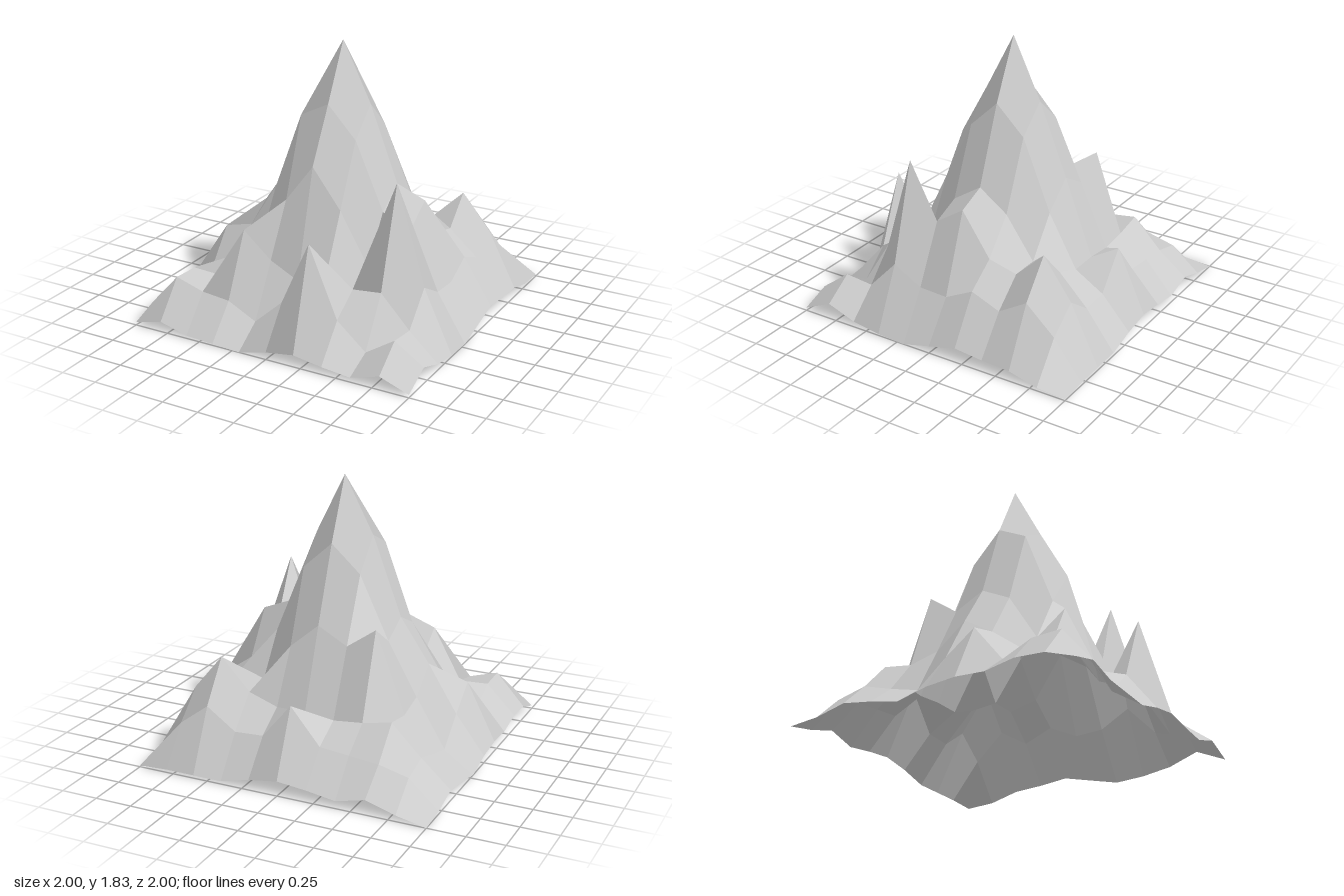
import * as THREE from 'three';

// Ridge profiles from back (z = -1) to front (z = 1); each runs from x = -1 to x = 1
const PROFILES = [
  [0.00, 0.04, 0.10, 0.05, 0.08, 0.10, 0.07, 0.02, 0.02, 0.02, 0.01],
  [0.02, 0.20, 0.25, 0.27, 0.29, 0.53, 0.29, 0.28, 0.42, 0.27, 0.02],
  [0.07, 0.25, 0.45, 0.41, 0.39, 0.41, 0.41, 0.48, 0.69, 0.45, 0.07],
  [0.04, 0.19, 0.42, 0.96, 0.82, 0.93, 0.76, 0.50, 0.50, 0.33, 0.08],
  [0.00, 0.14, 0.47, 0.82, 1.24, 1.42, 1.24, 0.78, 0.55, 0.41, 0.10],
  [0.05, 0.31, 0.63, 0.92, 1.45, 1.83, 1.43, 0.92, 0.84, 0.31, 0.05],
  [0.07, 0.46, 0.51, 0.82, 1.35, 1.45, 1.24, 0.79, 0.71, 0.32, 0.00],
  [0.06, 0.21, 0.36, 0.50, 0.83, 1.09, 0.83, 0.49, 1.09, 0.43, 0.01],
  [0.10, 0.30, 0.29, 0.65, 0.48, 0.38, 0.42, 0.41, 0.43, 0.22, 0.04],
  [0.09, 0.31, 0.25, 0.23, 0.13, 0.31, 0.75, 0.28, 0.11, 0.24, 0.11],
  [0.02, 0.07, 0.02, 0.01, 0.00, 0.05, 0.08, 0.05, 0.03, 0.09, 0.02],
];
const CELLS = PROFILES.length - 1;
const STEP = 2 / CELLS;

const point = (i, j) => new THREE.Vector3(-1 + i * STEP, PROFILES[j][i], -1 + j * STEP);

// Every cell owns its four corners and one shared normal, so it reads as a single facet
function terrainGeometry() {
  const positions = [];
  const normals = [];
  const indices = [];
  for (let j = 0; j < CELLS; j++) {
    for (let i = 0; i < CELLS; i++) {
      const n = positions.length / 3;
      const corners = [point(i, j), point(i, j + 1), point(i + 1, j + 1), point(i + 1, j)];
      const diagonalA = corners[2].clone().sub(corners[0]);
      const diagonalB = corners[3].clone().sub(corners[1]);
      const normal = diagonalA.cross(diagonalB).normalize();
      for (const corner of corners) {
        positions.push(...corner.toArray());
        normals.push(...normal.toArray());
      }
      indices.push(n, n + 1, n + 3, n + 1, n + 2, n + 3);
    }
  }
  const geometry = new THREE.BufferGeometry();
  geometry.setAttribute('position', new THREE.Float32BufferAttribute(positions, 3));
  geometry.setAttribute('normal', new THREE.Float32BufferAttribute(normals, 3));
  geometry.setIndex(indices);
  return geometry;
}

export function createModel() {
  const group = new THREE.Group();
  group.name = 'mountain';

  // Open, hollow sheet of terrain
  const material = new THREE.MeshStandardMaterial({ color: 0xcccccc, side: THREE.DoubleSide });
  const terrain = new THREE.Mesh(terrainGeometry(), material);
  terrain.name = 'terrain';
  group.add(terrain);
  return group;
}
